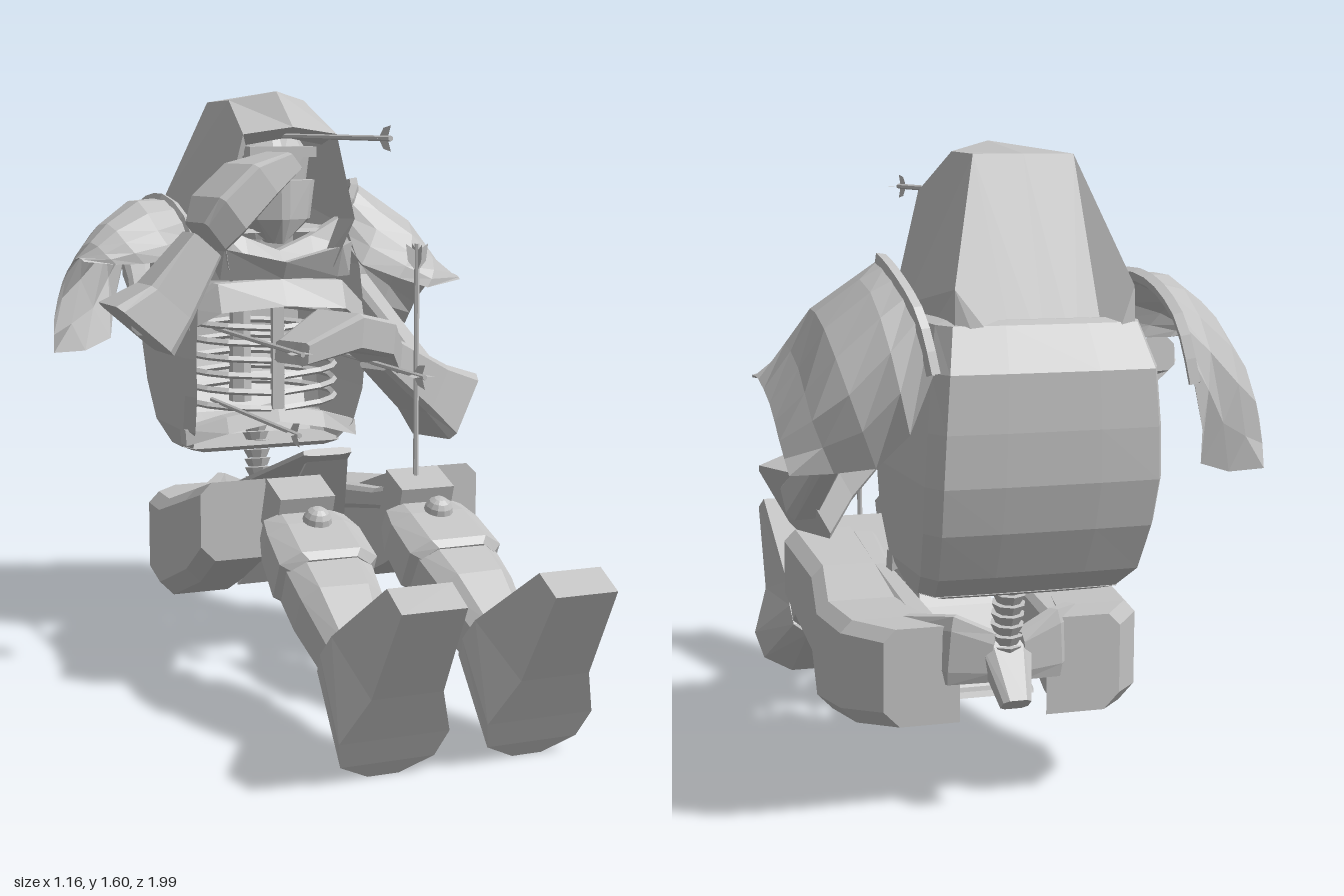
import * as THREE from 'three';

const stone = new THREE.MeshStandardMaterial({ color: 0xc2c2c2, side: THREE.DoubleSide, flatShading: true });
stone.name = 'stone grey';

const mesh = (name, geo, parent) => {
  const m = new THREE.Mesh(geo, stone);
  m.name = name;
  parent.add(m);
  return m;
};

// Skin through rings of [x, y, z]; closed rings get end caps and outward faces
function loft(rings, closed = true) {
  const tris = [], n = rings[0].length;
  const quad = (a, b, c, d) => tris.push([a, b, c], [a, c, d]);
  for (let r = 0; r + 1 < rings.length; r++)
    for (let i = 0; i < (closed ? n : n - 1); i++) {
      const j = (i + 1) % n;
      quad(rings[r][i], rings[r][j], rings[r + 1][j], rings[r + 1][i]);
    }
  const cap = (q, flip) => {
    for (let i = 0; i < n / 2 - 1; i++) {
      const f = [q[i], q[n - 1 - i], q[n - 2 - i], q[i + 1]];
      if (flip) f.reverse();
      quad(...f);
    }
  };
  if (closed) { cap(rings[0], false); cap(rings[rings.length - 1], true); }
  let vol = 0;
  for (const [a, b, c] of tris)
    vol += a[0] * (b[1] * c[2] - b[2] * c[1]) + a[1] * (b[2] * c[0] - b[0] * c[2]) + a[2] * (b[0] * c[1] - b[1] * c[0]);
  if (closed && vol < 0) tris.forEach(t => t.reverse());
  const g = new THREE.BufferGeometry();
  g.setAttribute('position', new THREE.Float32BufferAttribute(tris.flat(2), 3));
  g.computeVertexNormals();
  return g;
}

// Chamfered bar along stations [x, y, z, width, height]
function limb(st, k = 0.6) {
  const v = st.map(s => new THREE.Vector3(s[0], s[1], s[2]));
  const dir = v[v.length - 1].clone().sub(v[0]).normalize();
  const side = dir.clone().cross(new THREE.Vector3(0, 1, 0)).normalize();
  const up = side.clone().cross(dir);
  const oct = [[1, k], [k, 1], [-k, 1], [-1, k], [-1, -k], [-k, -1], [k, -1], [1, -k]];
  return loft(st.map((s, i) => oct.map(([a, b]) =>
    v[i].clone().addScaledVector(side, a * s[3] / 2).addScaledVector(up, b * s[4] / 2).toArray())));
}

// Completes a half outline with its mirror image across x = 0
const mirror = half => [...half, ...half.slice().reverse().map(([x, ...r]) => [-x, ...r])];
// Same with the last point lying on the centre line
const mirrorMid = half => [...half, ...half.slice(0, -1).reverse().map(([x, ...r]) => [-x, ...r])];

function arrow(parent, tail, dir, length, head) {
  const g = new THREE.Group();
  g.name = 'arrow';
  g.position.set(...tail);
  g.quaternion.setFromUnitVectors(new THREE.Vector3(0, -1, 0), new THREE.Vector3(...dir));
  mesh('arrowShaft', new THREE.CylinderGeometry(0.007, 0.007, length, 6), g).position.y = -length / 2;
  const flat = pts => new THREE.ShapeGeometry(new THREE.Shape(pts.map(p => new THREE.Vector2(...p))));
  for (let i = 0; i < 2; i++) {
    mesh('arrowFletching', flat([[0, -0.02], [0.032, 0], [0.026, -0.045], [0, -0.075], [-0.026, -0.045], [-0.032, 0]]), g)
      .rotation.y = i * Math.PI / 2;
    if (head) {
      const h = mesh('arrowHead', flat([[0, 0], [0.042, 0.11], [0.012, 0.08], [0, 0.13], [-0.012, 0.08], [-0.042, 0.11]]), g);
      h.position.y = -length;
      h.rotation.y = i * Math.PI / 2;
    }
  }
  parent.add(g);
}

// Domed shoulder shell through arcs running front to back, from neck side to outer flap
function pauldron(parent, name, arcs) {
  const smooth = arcs.map(a => new THREE.CatmullRomCurve3(a.map(p => new THREE.Vector3(...p)), false, 'catmullrom')
    .getPoints(10).map(p => p.toArray()));
  mesh(name, loft(smooth, false), parent);
  // Raised bead along the neck-side edge
  const edge = new THREE.CatmullRomCurve3(smooth[0].map(p => new THREE.Vector3(...p)));
  mesh(name + 'Rim', new THREE.TubeGeometry(edge, 12, 0.016, 4), parent);
}

export function createModel() {
  const root = new THREE.Group();
  root.name = 'seatedArmouredSkeleton';

  // Torso shell, open at the front: [y, half width, front z, back z]
  const torso = [[1.2, 0.24, -0.46, -0.88], [1.1, 0.265, -0.43, -0.935], [0.97, 0.275, -0.42, -0.94], [0.85, 0.28, -0.42, -0.935],
    [0.74, 0.275, -0.43, -0.905], [0.63, 0.265, -0.48, -0.85], [0.57, 0.245, -0.56, -0.76]];
  const cRing = ([y, w, f, b]) => mirror([[w - 0.02, y, f], [w, y, f - 0.05], [w, y, b + 0.06], [w * 0.9, y, b + 0.005], [w * 0.4, y, b]]);
  mesh('backShell', loft(torso.map(cRing), false), root);
  mesh('backShellBase', loft([cRing([0.572, 0.245, -0.54, -0.77]), cRing([0.556, 0.21, -0.57, -0.72])]), root);
  mesh('backShellTop', loft([cRing(torso[0]), cRing([1.21, 0.2, -0.48, -0.86])]), root);

  // Chest bands swept across x: [x, bottom y, top y, bottom z, top z]
  const band = (name, d, half) => mesh(name, loft(mirrorMid(half).map(([x, lo, hi, zl, zh]) =>
    [[x, lo, zl], [x, hi, zh], [x, hi, zh - d], [x, lo, zl - d]])), root);
  band('chestPlate', 0.05, [[0.27, 0.93, 0.99, -0.45, -0.47], [0.19, 0.98, 1.06, -0.4, -0.43], [0, 0.995, 1.07, -0.38, -0.42]]);
  band('collar', 0.05, [[0.23, 1.07, 1.17, -0.47, -0.45], [0.18, 1.07, 1.16, -0.44, -0.4], [0, 1.07, 1.12, -0.41, -0.38]]);
  band('neckGuard', 0.04, [[0.2, 1.16, 1.24, -0.45, -0.47], [0.1, 1.13, 1.19, -0.42, -0.45], [0, 1.11, 1.15, -0.4, -0.44]]);
  band('lowerRim', 0.05, [[0.265, 0.59, 0.635, -0.5, -0.51], [0.15, 0.625, 0.67, -0.46, -0.48], [0, 0.655, 0.7, -0.44, -0.46]]);

  // Ribs, breastbone and spine
  for (let i = 0; i < 6; i++)
    for (const s of [-1, 1]) {
      const y = 0.7 + i * 0.047;
      const path = new THREE.CatmullRomCurve3([[0.02, y + 0.03, -0.8], [0.17, y + 0.02, -0.77], [0.235, y + 0.01, -0.62],
        [0.17, y, -0.5], [0.02, y - 0.01, -0.46]].map(([x, b, z]) => new THREE.Vector3(s * x, b, z)));
      mesh('rib', new THREE.TubeGeometry(path, 10, 0.01, 4), root);
    }
  mesh('breastbone', new THREE.BoxGeometry(0.035, 0.3, 0.02), root).position.set(0, 0.84, -0.46);
  mesh('upperSpine', new THREE.CylinderGeometry(0.03, 0.035, 0.5, 6), root).position.set(0, 0.92, -0.78);
  for (let i = 0; i < 9; i++) {
    const d = mesh('vertebra', new THREE.CylinderGeometry(0.042, 0.03, 0.024, 8), root);
    d.position.set(0, 0.4 + i * 0.026, -0.61 - i * 0.005);
    d.rotation.x = -0.15;
  }

  // Hood: inner lip, rim, crown, back, hem
  mesh('hood', loft([
    [[0.13, 1.1, -0.45], [0.17, 1.24, -0.41], [0.115, 1.45, -0.4], [0, 1.47, -0.38]],
    [[0.16, 1.1, -0.42], [0.2, 1.24, -0.36], [0.14, 1.48, -0.35], [0, 1.5, -0.33]],
    [[0.2, 1.1, -0.52], [0.215, 1.22, -0.5], [0.115, 1.575, -0.54], [0, 1.6, -0.46]],
    [[0.21, 1.1, -0.87], [0.21, 1.28, -0.87], [0.12, 1.57, -0.715], [0, 1.57, -0.715]],
    [[0.21, 1.1, -0.88], [0.14, 1.1, -0.89], [0.07, 1.1, -0.89], [0, 1.1, -0.89]],
  ].map(mirrorMid), false), root);

  // Skull and face mask
  const face = (y, w, f, b) => mirror([[w * 0.12, y, f], [w * 0.75, y, f - 0.03], [w, y, f - 0.07], [w, y, b], [w * 0.5, y, b - 0.04]]);
  mesh('skull', loft([face(1.18, 0.07, -0.46, -0.58), face(1.32, 0.11, -0.45, -0.66), face(1.42, 0.12, -0.44, -0.68), face(1.5, 0.08, -0.48, -0.64)]), root);
  mesh('faceMask', loft([face(1.17, 0.02, -0.41, -0.5), face(1.24, 0.1, -0.385, -0.5), face(1.35, 0.115, -0.385, -0.5)]), root);
  mesh('brow', new THREE.BoxGeometry(0.2, 0.03, 0.05), root).position.set(0, 1.43, -0.43);
  mesh('noseBridge', new THREE.BoxGeometry(0.03, 0.08, 0.04), root).position.set(0, 1.38, -0.42);

  // Shoulder armour
  pauldron(root, 'leftPauldron', [
    [[0.22, 1.2, -0.55], [0.27, 1.28, -0.56], [0.31, 1.335, -0.62], [0.31, 1.3, -0.76], [0.29, 1.22, -0.87], [0.27, 1.1, -0.91]],
    [[0.27, 1.1, -0.47], [0.33, 1.2, -0.5], [0.37, 1.29, -0.6], [0.37, 1.27, -0.76], [0.36, 1.15, -0.89], [0.32, 0.97, -0.9]],
    [[0.37, 1.06, -0.43], [0.42, 1.13, -0.45], [0.46, 1.22, -0.56], [0.47, 1.19, -0.74], [0.45, 1.06, -0.88], [0.38, 0.89, -0.84]],
    [[0.46, 1.03, -0.42], [0.49, 1.08, -0.44], [0.515, 1.14, -0.54], [0.52, 1.1, -0.7], [0.52, 1.0, -0.83], [0.47, 0.88, -0.82]],
    [[0.57, 1.05, -0.43], [0.575, 1.06, -0.46], [0.58, 1.06, -0.55], [0.58, 1.02, -0.67], [0.58, 0.95, -0.77], [0.57, 0.88, -0.82]],
  ]);
  pauldron(root, 'rightPauldron', [
    [[-0.22, 1.14, -0.55], [-0.24, 1.23, -0.57], [-0.27, 1.29, -0.64], [-0.29, 1.28, -0.78], [-0.3, 1.2, -0.92], [-0.31, 1.07, -0.98]],
    [[-0.29, 1.13, -0.49], [-0.34, 1.21, -0.51], [-0.37, 1.29, -0.6], [-0.38, 1.26, -0.76], [-0.38, 1.13, -0.91], [-0.35, 0.96, -0.94]],
    [[-0.39, 1.12, -0.48], [-0.44, 1.18, -0.49], [-0.47, 1.23, -0.57], [-0.48, 1.19, -0.72], [-0.47, 1.05, -0.87], [-0.38, 0.87, -0.87]],
    [[-0.47, 1.12, -0.48], [-0.5, 1.15, -0.49], [-0.525, 1.18, -0.55], [-0.54, 1.13, -0.67], [-0.54, 1.0, -0.82], [-0.47, 0.84, -0.83]],
    [[-0.56, 1.13, -0.49], [-0.57, 1.14, -0.51], [-0.575, 1.12, -0.57], [-0.58, 1.06, -0.66], [-0.58, 0.95, -0.76], [-0.57, 0.84, -0.81]],
  ]);

  // Right arm, raised to the brow
  mesh('rightUpperArm', limb([[-0.36, 1.1, -0.66, 0.08, 0.08], [-0.4, 1.06, -0.5, 0.06, 0.06], [-0.47, 0.99, -0.2, 0.08, 0.08]]), root);
  mesh('rightForearm', limb([[-0.5, 0.97, -0.2, 0.18, 0.21], [-0.42, 1.04, -0.2, 0.14, 0.15], [-0.31, 1.19, -0.21, 0.11, 0.1]], 0.8), root);
  mesh('rightHand', limb([[-0.3, 1.21, -0.21, 0.13, 0.1], [-0.26, 1.27, -0.22, 0.2, 0.12], [-0.16, 1.36, -0.24, 0.2, 0.11], [-0.06, 1.41, -0.25, 0.15, 0.06]], 0.8), root);

  // Left arm, folded across the belly
  mesh('leftUpperArm', limb([[0.35, 1.02, -0.7, 0.08, 0.08], [0.39, 0.88, -0.48, 0.07, 0.07], [0.42, 0.72, -0.26, 0.09, 0.11]]), root);
  mesh('leftForearm', limb([[0.43, 0.71, -0.24, 0.18, 0.21], [0.34, 0.77, -0.2, 0.14, 0.15], [0.18, 0.88, -0.14, 0.11, 0.1]], 0.8), root);
  mesh('leftHand', limb([[0.2, 0.87, -0.14, 0.12, 0.09], [0.14, 0.93, -0.12, 0.2, 0.1], [0.02, 0.96, -0.06, 0.2, 0.1], [-0.13, 0.91, -0.01, 0.13, 0.06]], 0.8), root);

  // Pelvis, belt plate and loincloth
  const slab = (y, z, w, t) => [[-w, y, z], [w, y, z], [w, y - t * 0.5, z - t], [-w, y - t * 0.5, z - t]];
  mesh('sacrum', limb([[0, 0.42, -0.58, 0.14, 0.08], [0, 0.28, -0.69, 0.07, 0.05]]), root);
  mesh('beltPlate', limb([[0, 0.625, -0.08, 0.14, 0.02], [0, 0.5, -0.37, 0.3, 0.02]]), root);
  mesh('loincloth', loft([slab(0.6, -0.08, 0.06, 0.02), slab(0.42, -0.2, 0.1, 0.02), slab(0.22, -0.32, 0.17, 0.02), slab(0.25, -0.46, 0.12, 0.02)]), root);

  for (const s of [-1, 1]) {
    const leg = new THREE.Group();
    leg.name = s > 0 ? 'leftLeg' : 'rightLeg';
    root.add(leg);
    mesh('hipBlade', limb([[s * 0.03, 0.38, -0.62, 0.04, 0.12], [s * 0.13, 0.4, -0.6, 0.04, 0.17], [s * 0.22, 0.4, -0.48, 0.05, 0.13]]), leg);

    // Hip guard, front to back: [z, inner x, outer x, bottom y, top y]
    const guard = [[0.025, 0.22, 0.4, 0.375, 0.585], [-0.18, 0.21, 0.375, 0.27, 0.53], [-0.34, 0.2, 0.4, 0.2, 0.475],
      [-0.5, 0.17, 0.38, 0.21, 0.465], [-0.6, 0.11, 0.3, 0.22, 0.46]];
    mesh('hipGuard', loft(guard.map(([z, a, b, lo, hi]) =>
      [[a, hi], [b - 0.03, hi], [b, hi - 0.03], [b, lo + 0.04], [b - 0.04, lo], [a, lo]].map(([x, y]) => [s * x, y, z]))), leg);

    // Thigh, knee and shin
    mesh('thighBone', limb([[s * 0.17, 0.42, -0.5, 0.08, 0.08], [s * 0.17, 0.48, -0.1, 0.055, 0.055], [s * 0.17, 0.52, 0.1, 0.08, 0.08]]), leg);
    const knee = mesh('kneeJoint', new THREE.BoxGeometry(0.15, 0.13, 0.11), leg);
    knee.position.set(s * 0.17, 0.52, 0.13);
    knee.rotation.x = 0.35;
    const cap = mesh('kneeCap', new THREE.SphereGeometry(0.038, 12, 4, 0, Math.PI * 2, 0, Math.PI / 2), leg);
    cap.position.set(s * 0.17, 0.515, 0.265);
    cap.rotation.x = 0.3;
    mesh('kneeCuff', limb([[s * 0.17, 0.48, 0.16, 0.22, 0.1], [s * 0.17, 0.445, 0.22, 0.25, 0.15], [s * 0.175, 0.385, 0.33, 0.26, 0.18],
      [s * 0.175, 0.375, 0.35, 0.21, 0.16]]), leg);
    mesh('shin', limb([[s * 0.175, 0.39, 0.31, 0.23, 0.16], [s * 0.182, 0.32, 0.43, 0.21, 0.18], [s * 0.19, 0.24, 0.56, 0.16, 0.15]]), leg);

    // Foot, heel down and toes raised
    const sole = mirror([[0.08, 0.46, 1], [0.09, 0.23, 0.86], [0.14, 0.11, 0.79], [0.12, 0.04, 0.75], [0.04, 0, 0.725]]);
    const instep = mirror([[0.08, 0.5, 0.92], [0.08, 0.31, 0.6], [0.085, 0.25, 0.54], [0.08, 0.2, 0.51], [0.04, 0.17, 0.5]]);
    mesh('foot', loft([sole, instep]), leg).position.x = s * 0.19;
  }

  // Arrows lodged in hood, ribs and leg
  arrow(root, [-0.01, 1.475, 0.355], [0, 0, -1], 0.75, false);
  arrow(root, [-0.15, 0.92, 0.12], [0, 0, -1], 0.7, false);
  arrow(root, [0.16, 0.855, 0.2], [0, 0, -1], 0.8, false);
  arrow(root, [-0.16, 0.71, 0.12], [0, 0, -1], 0.7, false);
  arrow(root, [0.165, 1.2, 0.135], [0, -1, 0], 0.97, true);
  return root;
}
